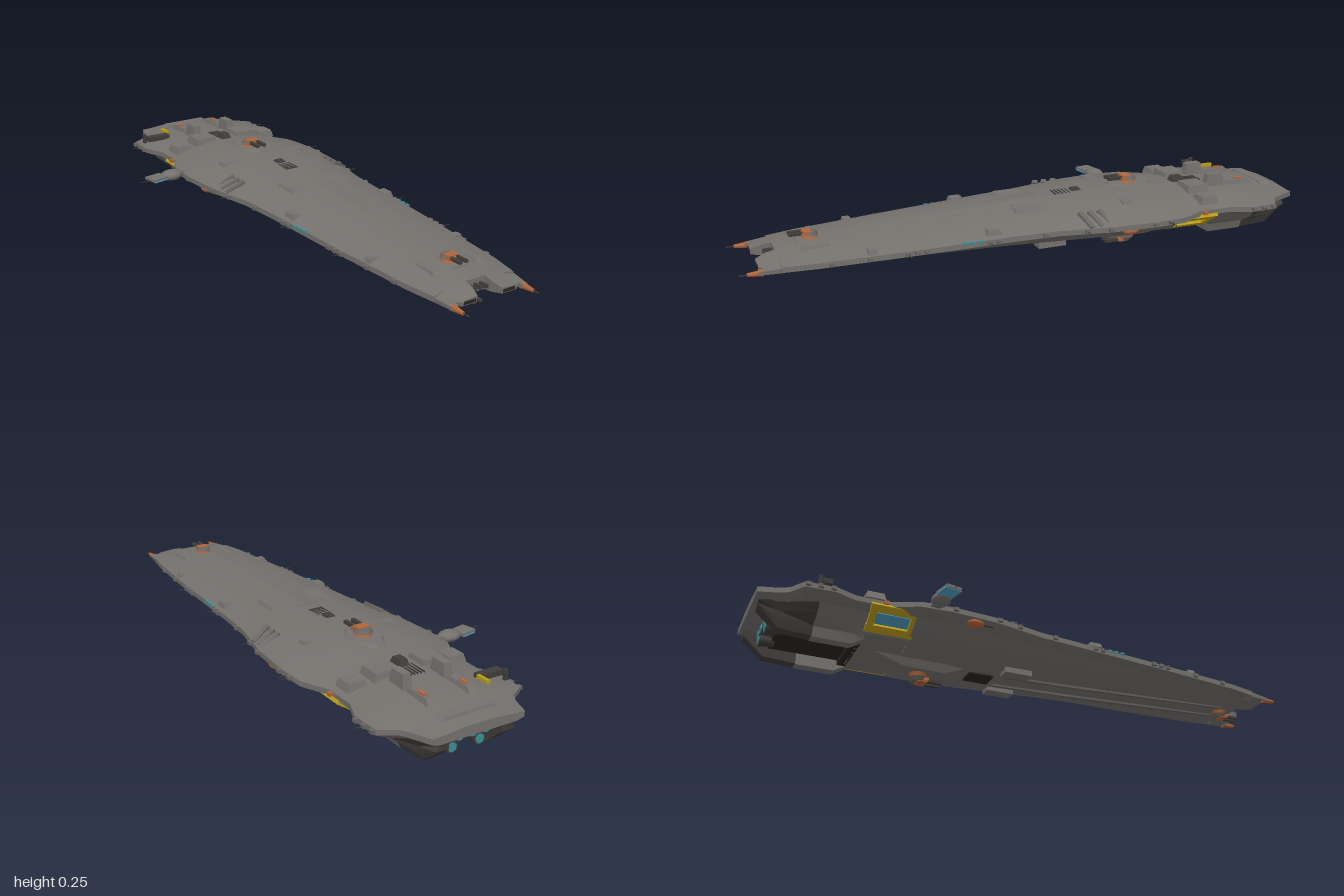
import * as THREE from 'three';
import { toCreasedNormals } from 'three/addons/utils/BufferGeometryUtils.js';

const mat = (name, color) => Object.assign(new THREE.MeshStandardMaterial({ color }), { name });
const M = {
  hull: mat('hull grey', 0x74716d), panel: mat('panel grey', 0x696663), dark: mat('dark grey', 0x403d3b),
  black: mat('bay black', 0x2a2422), orange: mat('orange', 0xb0653a), yellow: mat('yellow', 0xb89c1a),
  teal: mat('engine teal', 0x3c8f98), blue: mat('field blue', 0x4f9cc0),
};

export function createModel() {
  const root = new THREE.Group();
  root.name = 'spaceship';
  const ship = new THREE.Group();
  ship.name = 'ship';
  ship.position.x = 0.067; // the side arm shifts the hull off centre
  root.add(ship);

  const add = (name, geo, m, x = 0, y = 0, z = 0, parent = ship) => {
    const mesh = new THREE.Mesh(geo, m);
    mesh.name = name;
    mesh.position.set(x, y, z);
    parent.add(mesh);
    return mesh;
  };
  const box = (name, m, w, h, d, x, y, z, parent) => add(name, new THREE.BoxGeometry(w, h, d), m, x, y, z, parent);
  const pair = (name, m, w, h, d, x, y, z) => [1, -1].map(s => box(name, m, w, h, d, s * x, y, z));
  // Box with a smaller top
  const block = (name, m, w, h, d, x, y, z, k = 0.75) => {
    const g = new THREE.BoxGeometry(w, h, d), p = g.attributes.position;
    for (let i = 0; i < p.count; i++) if (p.getY(i) > 0) { p.setX(i, p.getX(i) * k); p.setZ(i, p.getZ(i) * k); }
    g.computeVertexNormals();
    return add(name, g, m, x, y, z);
  };
  const blocks = (...a) => [1, -1].forEach(s => { const b = [...a]; b[5] *= s; block(...b); });

  // Closed skin through cross-sections [z, points], points clockwise from the front, z rising
  const loft = (name, m, rings) => {
    const n = rings[0][1].length, pos = [], idx = [];
    rings.forEach(([z, pts]) => pts.forEach(([x, y]) => pos.push(x, y, z)));
    for (let i = 0; i < rings.length - 1; i++) for (let j = 0; j < n; j++) {
      const a = i * n + j, b = i * n + (j + 1) % n, d = a + n, c = b + n;
      idx.push(a, d, b, b, d, c);
    }
    for (const e of [0, rings.length - 1]) {
      const [z, pts] = rings[e], k = pos.length / 3;
      pos.push(pts.reduce((s, p) => s + p[0], 0) / n, pts.reduce((s, p) => s + p[1], 0) / n, z);
      for (let j = 0; j < n; j++) {
        const a = e * n + j, b = e * n + (j + 1) % n;
        idx.push(k, ...(e ? [b, a] : [a, b]));
      }
    }
    const g = new THREE.BufferGeometry();
    g.setAttribute('position', new THREE.Float32BufferAttribute(pos, 3));
    g.setIndex(idx);
    return add(name, toCreasedNormals(g, 0.45), m);
  };
  const flip = pts => pts.map(([x, y]) => [-x, y]).reverse();
  const sym = half => [...half, ...flip(half)];
  const loftPair = (name, m, rings) => {
    loft(name, m, rings);
    loft(name, m, rings.map(([z, p]) => [z, flip(p)]));
  };

  // Upper hull: z, half width, deck height, rim height, underside height
  const stations = [
    [-0.98, 0.165, 0.168, 0.152, 0.135], [-0.915, 0.188, 0.18, 0.15, 0.123], [-0.885, 0.205, 0.184, 0.15, 0.122],
    [-0.85, 0.262, 0.187, 0.15, 0.122], [-0.75, 0.265, 0.192, 0.15, 0.122], [-0.68, 0.236, 0.196, 0.15, 0.124],
    [-0.57, 0.236, 0.2, 0.15, 0.126], [-0.475, 0.28, 0.211, 0.15, 0.126], [-0.37, 0.286, 0.215, 0.15, 0.122],
    [-0.21, 0.275, 0.213, 0.149, 0.12], [-0.03, 0.238, 0.205, 0.147, 0.12], [0.13, 0.225, 0.197, 0.144, 0.12],
    [0.5, 0.2, 0.176, 0.132, 0.115], [0.77, 0.176, 0.16, 0.124, 0.112], [0.87, 0.158, 0.146, 0.12, 0.11],
  ];
  const at = z => {
    const i = Math.max(1, stations.findIndex(s => s[0] >= z)), a = stations[i - 1], b = stations[i];
    const t = (z - a[0]) / (b[0] - a[0]);
    return a.map((v, k) => v + (b[k] - v) * t);
  };
  loft('upperHull', M.hull, stations.map(([z, w, top, e, s]) => [z, sym([
    [0.3 * w, top], [0.8 * w, e + 0.55 * (top - e)], [w, e + 0.008], [w, e - 0.01], [0.85 * w, s]])]));

  // Lower hull ahead of the hangar: z, keel half width, keel height
  loft('lowerHull', M.hull, [[-0.475, 0.1, 0.058], [-0.3, 0.1, 0.058], [-0.1, 0.09, 0.063], [0.13, 0.08, 0.07],
    [0.5, 0.07, 0.085], [0.77, 0.06, 0.095], [0.87, 0.05, 0.1]].map(([z, k, y]) => {
    const [, w, , , s] = at(z);
    return [z, sym([[0.85 * w, s + 0.003], [0.7 * w, s - 0.45 * (s - y)], [k, y]])];
  }));
  // Belly keel and long ridges
  loft('bellyKeel', M.hull, [[-0.6, 0.06], [-0.46, 0.033], [-0.31, 0.03], [-0.24, 0.06]]
    .map(([z, y]) => [z, sym([[0.07, 0.07], [0.05, y]])]));
  loftPair('bellyRidge', M.panel, [[-0.1, 0.057], [0.15, 0.063], [0.8, 0.092]]
    .map(([z, y]) => [z, [[0.03, y + 0.02], [0.05, y + 0.02], [0.046, y], [0.034, y]]]));

  // Twin bow prongs with a notch and small guns between
  loftPair('bowProng', M.hull, [[0.86, [[0.038, 0.148], [0.1, 0.142], [0.158, 0.122], [0.145, 0.108], [0.04, 0.1]]],
    [0.9, [[0.038, 0.14], [0.09, 0.136], [0.152, 0.122], [0.14, 0.108], [0.04, 0.103]]],
    [0.935, [[0.048, 0.128], [0.08, 0.126], [0.112, 0.122], [0.108, 0.108], [0.05, 0.108]]]]);
  loftPair('outerProng', M.hull, [[0.87, [[0.12, 0.128], [0.158, 0.124], [0.155, 0.108], [0.12, 0.106]]],
    [0.94, [[0.125, 0.12], [0.148, 0.118], [0.148, 0.108], [0.125, 0.108]]]]);
  pair('bowPort', M.black, 0.046, 0.01, 0.004, 0.077, 0.116, 0.935);
  const spike = new THREE.CylinderGeometry(0.006, 0.012, 0.05, 8).rotateX(Math.PI / 2);
  for (const s of [1, -1]) {
    add('bowSpike', spike, M.orange, s * 0.137, 0.111, 0.95);
    box('bowNeedle', M.dark, 0.003, 0.003, 0.04, s * 0.137, 0.111, 0.98);
  }
  for (const x of [-0.022, 0, 0.022]) box('bowGun', M.dark, 0.01, 0.012, 0.04, x, 0.125, 0.88);

  // Hangar tunnel open on both sides, each mouth with a slanted frame
  loft('hangarFloor', M.hull, [-0.63, -0.47].map(z => [z, sym([[0.165, 0.097], [0.145, 0.075], [0.08, 0.06]])]));
  box('hangarCeiling', M.blue, 0.42, 0.004, 0.15, 0, 0.1255, -0.55);
  for (const s of [1, -1]) {
    const frame = new THREE.Group();
    frame.name = 'hangarFrame';
    frame.position.set(s * 0.197, 0.111, -0.548);
    frame.rotation.z = s * 0.58;
    ship.add(frame);
    for (const x of [-0.038, 0.04]) box('hangarBar', M.yellow, 0.028, 0.012, 0.16, s * x, 0, 0, frame);
    for (const z of [-0.067, 0.071]) box('hangarPost', M.yellow, 0.1, 0.012, 0.022, 0, 0, z, frame);
  }

  // Stern skirts around the engine bay, dark towards the back
  const skirt = ([z, w, y]) => [z, [[0.095, 0.128], [0.87 * w, 0.128], [0.76 * w, y * 0.4 + 0.08],
    [0.145, 0.6 * y + 0.046], [0.133, y], [0.096, y]]];
  loftPair('sternSkirt', M.hull, [[-0.79, 0.258, 0.037], [-0.66, 0.235, 0.037], [-0.62, 0.23, 0.06]].map(skirt));
  loftPair('sternCowl', M.dark, [[-0.968, 0.165, 0.105], [-0.9, 0.195, 0.045], [-0.79, 0.256, 0.039]].map(skirt));
  box('engineBay', M.black, 0.2, 0.05, 0.26, 0, 0.102, -0.755);
  box('bayBulkhead', M.black, 0.2, 0.06, 0.03, 0, 0.09, -0.635);
  const nozzle = new THREE.CylinderGeometry(0.014, 0.02, 0.05, 14).rotateX(Math.PI / 2);
  const glow = new THREE.CylinderGeometry(0.015, 0.015, 0.006, 14).rotateX(Math.PI / 2);
  for (const [x, y] of [[-0.072, 0.108], [-0.025, 0.108], [0.025, 0.108], [0.072, 0.108], [-0.05, 0.078], [0.05, 0.078]]) {
    add('engineNozzle', nozzle, M.dark, x, y, -0.9);
    add('engineGlow', glow, M.teal, x, y, -0.925);
  }

  // Gun turrets, up = 1 on the deck or -1 under the hull
  const turret = (y, z, up, k = 1) => {
    const g = new THREE.Group();
    g.name = 'turret';
    add('turretNeck', new THREE.CylinderGeometry(0.026, 0.032, 0.016, 12), M.orange, 0, 0.006, 0, g);
    add('turretHead', new THREE.CylinderGeometry(0.025, 0.033, 0.013, 12), M.panel, 0, 0.02, 0, g);
    box('turretRoof', M.orange, 0.044, 0.006, 0.034, 0, 0.026, 0.012, g);
    box('turretFace', M.orange, 0.05, 0.011, 0.02, 0, 0.019, 0.024, g);
    for (const s of [-1, 1]) box('turretBarrel', M.dark, 0.013, 0.011, 0.07, s * 0.014, 0.022, 0.047, g);
    g.position.set(0, y, z);
    g.scale.setScalar(k);
    if (up < 0) g.rotation.set(Math.PI, Math.PI, 0);
    ship.add(g);
  };
  const plinth = add('turretPlinth', new THREE.CylinderGeometry(0.05, 0.06, 0.012, 8).rotateY(Math.PI / 8), M.hull, 0, 0.215, -0.4);
  plinth.scale.z = 1.6;
  turret(0.217, -0.395, 1);
  turret(0.16, 0.75, 1, 0.85);
  turret(0.029, -0.39, -1);
  turret(0.095, 0.82, -1, 0.85);
  const dome = new THREE.SphereGeometry(0.025, 12, 8);
  for (const s of [1, -1]) {
    add('sideTurret', dome, M.orange, s * 0.252, 0.132, -0.28).scale.set(1, 0.6, 1.3);
    pair('sideTurretGun', M.dark, 0.007, 0.006, 0.05, 0.25 + s * 0.007, 0.13, -0.24);
  }

  // Bridge and stern deck structures
  blocks('bridgeBlock', M.hull, 0.09, 0.03, 0.085, 0.088, 0.2, -0.613, 0.85);
  blocks('outerBridgeBlock', M.hull, 0.07, 0.026, 0.07, 0.185, 0.184, -0.61, 0.8);
  blocks('bridgeTower', M.hull, 0.036, 0.05, 0.075, 0.075, 0.211, -0.705, 0.75);
  blocks('sternFin', M.hull, 0.032, 0.02, 0.12, 0.075, 0.195, -0.8, 0.7);
  pair('sternLamp', M.orange, 0.012, 0.006, 0.03, 0.075, 0.207, -0.81);
  block('sternPlate', M.hull, 0.2, 0.01, 0.04, 0, 0.18, -0.915, 0.85);
  block('bridgeMast', M.dark, 0.045, 0.03, 0.06, 0, 0.203, -0.595, 0.6);
  for (let i = 0; i < 5; i++) box('mastRib', M.dark, 0.003, 0.006, 0.07, -0.028 + i * 0.012, 0.198, -0.65);
  box('craneBase', M.dark, 0.09, 0.018, 0.03, -0.2, 0.186, -0.775);
  box('craneHead', M.yellow, 0.012, 0.012, 0.05, -0.15, 0.194, -0.81);
  box('cranePost', M.dark, 0.012, 0.035, 0.012, -0.245, 0.182, -0.8);

  // Deck details
  blocks('deckHatch', M.hull, 0.075, 0.012, 0.105, 0.083, 0.197, 0.03, 0.85);
  blocks('deckVent', M.hull, 0.06, 0.014, 0.04, 0.15, 0.198, -0.31, 0.8);
  blocks('sideHatch', M.hull, 0.04, 0.016, 0.05, 0.19, 0.167, 0.19, 0.8);
  blocks('bowHatch', M.hull, 0.045, 0.014, 0.03, 0.165, 0.147, 0.59, 0.8);
  blocks('bowFairing', M.hull, 0.03, 0.012, 0.11, 0.085, 0.154, 0.75, 0.7);
  block('deckArray', M.dark, 0.04, 0.012, 0.04, 0, 0.212, -0.19, 0.7);
  for (let i = 0; i < 5; i++) box('arrayRib', M.dark, 0.05, 0.006, 0.004, 0, 0.209, -0.16 + i * 0.013);
  loft('deckSpine', M.hull, [[-0.05, 0.05, 0.2075], [0.13, 0.045, 0.1985], [0.5, 0.035, 0.178], [0.8, 0.03, 0.1585]]
    .map(([z, w, y]) => [z, sym([[w * 0.8, y], [w, y - 0.004]])]));
  for (const s of [1, -1]) for (let i = 0; i < 3; i++)
    box('deckLouvre', M.panel, 0.075, 0.012, 0.018, s * 0.225, 0.175, -0.2 + i * 0.035).rotation.set(0, s * 0.3, -s * 0.5);

  // Belly details
  box('bellyBay', M.black, 0.07, 0.006, 0.09, 0, 0.059, -0.17);
  blocks('bellyPod', M.hull, 0.045, 0.02, 0.1, 0.085, 0.06, -0.06, 1);
  for (let i = 0; i < 7; i++) pair('bellyLight', M.panel, 0.012, 0.006, 0.02, 0.062, 0.074 + i * 0.003, 0.15 + i * 0.08);

  // Rim equipment: boxes, needles and small lights
  const rimZ = [-0.84, -0.8, -0.76, -0.58, -0.42, -0.36, -0.2, -0.12, 0.02, 0.18, 0.21, 0.42, 0.45, 0.48, 0.6, 0.72];
  rimZ.forEach((z, i) => {
    const [, w, , e] = at(z);
    pair('rimBox', z === -0.58 ? M.orange : M.panel, 0.022, 0.012, 0.016, w, e, z);
    if (i % 3 === 1) pair('rimNeedle', M.dark, 0.04, 0.002, 0.002, w + 0.018, e, z);
  });
  for (const z of [0.24, 0.265, 0.29]) pair('rimLight', M.teal, 0.01, 0.008, 0.014, at(z)[1], 0.147, z);

  // Side arm with sensor paddle, on the right only
  const pod = add('armPod', new THREE.SphereGeometry(0.036, 12, 8), M.hull, -0.325, 0.154, -0.425);
  pod.scale.set(1.2, 0.55, 0.9);
  box('armStrut', M.hull, 0.1, 0.018, 0.03, -0.28, 0.155, -0.43).rotation.z = 0.15;
  box('armPaddle', M.hull, 0.065, 0.01, 0.055, -0.387, 0.156, -0.42).rotation.y = 0.2;
  box('armPaddleField', M.blue, 0.055, 0.005, 0.057, -0.388, 0.151, -0.42).rotation.y = 0.2;
  box('armNeedle', M.dark, 0.06, 0.002, 0.002, -0.43, 0.154, -0.41);
  box('leftNeedle', M.dark, 0.04, 0.002, 0.002, 0.302, 0.154, -0.41);
  return root;
}
